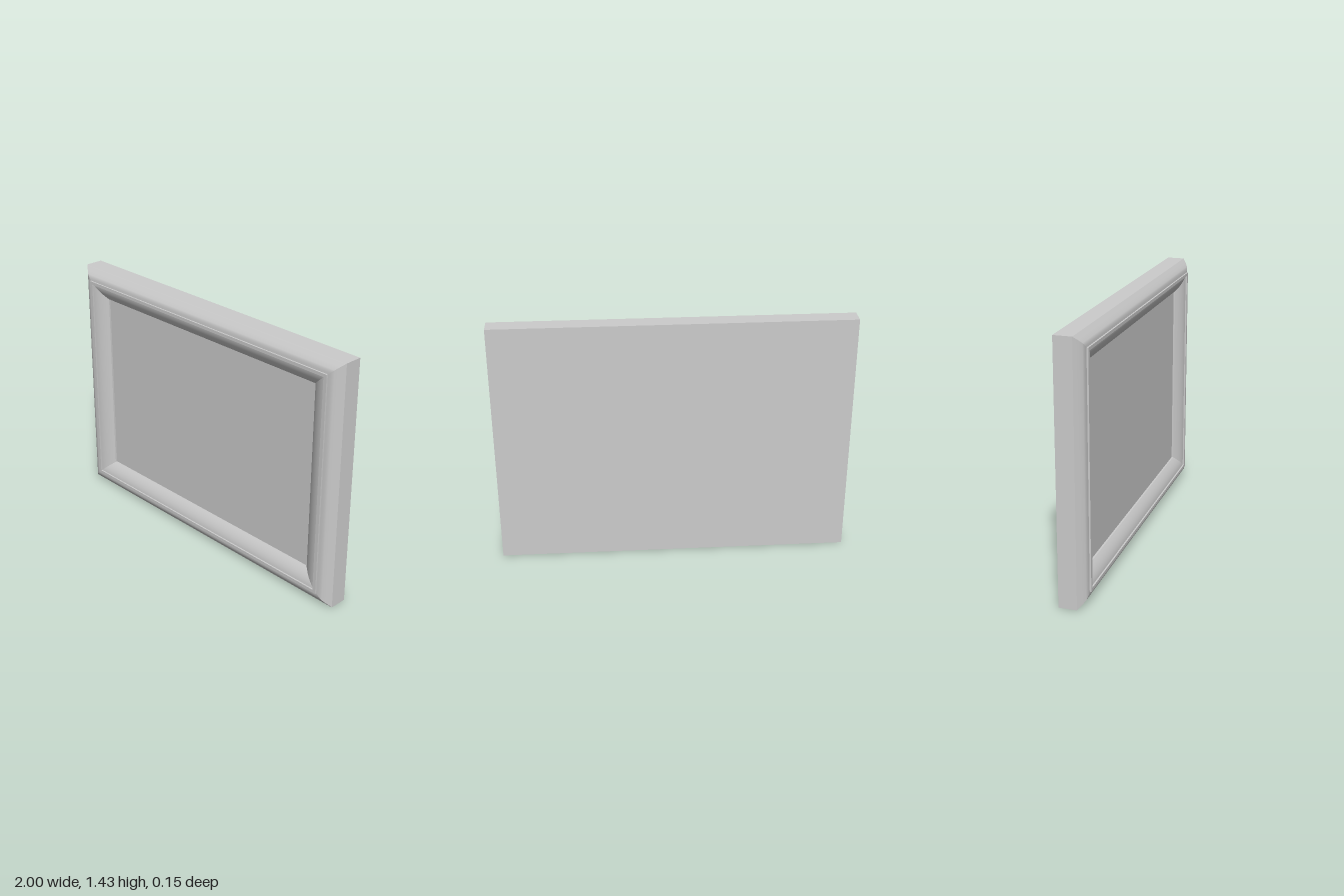
import * as THREE from 'three';

const W = 2, H = 1.43, BACK = -0.075, PANEL = 0.015;
const INSET_X = 0.19, INSET_Y = 0.168;

const material = new THREE.MeshStandardMaterial({ color: 0xcccccc });

// Corners of a rectangle inset from the outer edge, anticlockwise from bottom left
const CORNERS = [[-1, -1], [1, -1], [1, 1], [-1, 1]];
function corner(i, inset, z) {
  const [sx, sy] = CORNERS[i % 4];
  const insetY = inset * INSET_Y / INSET_X;
  return [sx * (W / 2 - inset), H / 2 + sy * (H / 2 - insetY), z];
}

// Four mitred rails swept from a smooth profile of [inset, z] points
function mitredRun(name, profile) {
  const group = new THREE.Group();
  group.name = name;
  ['bottom', 'left', 'top', 'right'].forEach((side, s) => {
    const positions = [], index = [];
    profile.forEach(([inset, z], k) => {
      positions.push(...corner(s, inset, z), ...corner(s + 1, inset, z));
      if (k === 0) return;
      const a = 2 * (k - 1);
      index.push(a, a + 1, a + 3, a, a + 3, a + 2);
    });
    const geometry = new THREE.BufferGeometry();
    geometry.setAttribute('position', new THREE.Float32BufferAttribute(positions, 3));
    geometry.setIndex(index);
    geometry.computeVertexNormals();
    const mesh = new THREE.Mesh(geometry, material);
    mesh.name = `${name} ${side}`;
    group.add(mesh);
  });
  return group;
}

function plane(name, width, height, z) {
  const mesh = new THREE.Mesh(new THREE.PlaneGeometry(width, height), material);
  mesh.name = name;
  mesh.position.set(0, H / 2, z);
  return mesh;
}

export function createModel() {
  const model = new THREE.Group();
  model.name = 'pictureFrame';

  // Square outer edge
  model.add(mitredRun('outerEdge', [[0, BACK], [0, 0.025]]));

  // Sloping outer moulding that rounds over towards the bead
  model.add(mitredRun('outerMoulding', [
    [0, 0.025], [0.025, 0.045], [0.045, 0.059], [0.055, 0.063], [0.067, 0.065], [0.08, 0.066],
  ]));

  // Thin raised bead
  model.add(mitredRun('beadOuterStep', [[0.08, 0.066], [0.08, 0.075]]));
  model.add(mitredRun('beadFace', [[0.08, 0.075], [0.1, 0.075]]));
  model.add(mitredRun('beadInnerStep', [[0.1, 0.075], [0.1, 0.066]]));

  // Rounded inner moulding falling to the panel
  const inner = [];
  for (let i = 0; i <= 10; i++) {
    const t = i / 10;
    inner.push([0.1 + 0.09 * t, 0.066 - 0.01 * t - 0.031 * t * t]);
  }
  model.add(mitredRun('innerMoulding', inner));
  model.add(mitredRun('innerLip', [[INSET_X, 0.025], [INSET_X, PANEL]]));

  // Recessed panel and closed back
  model.add(plane('panel', W - 2 * INSET_X, H - 2 * INSET_Y, PANEL));
  const back = plane('backBoard', W, H, BACK);
  back.rotation.y = Math.PI;
  model.add(back);

  return model;
}
